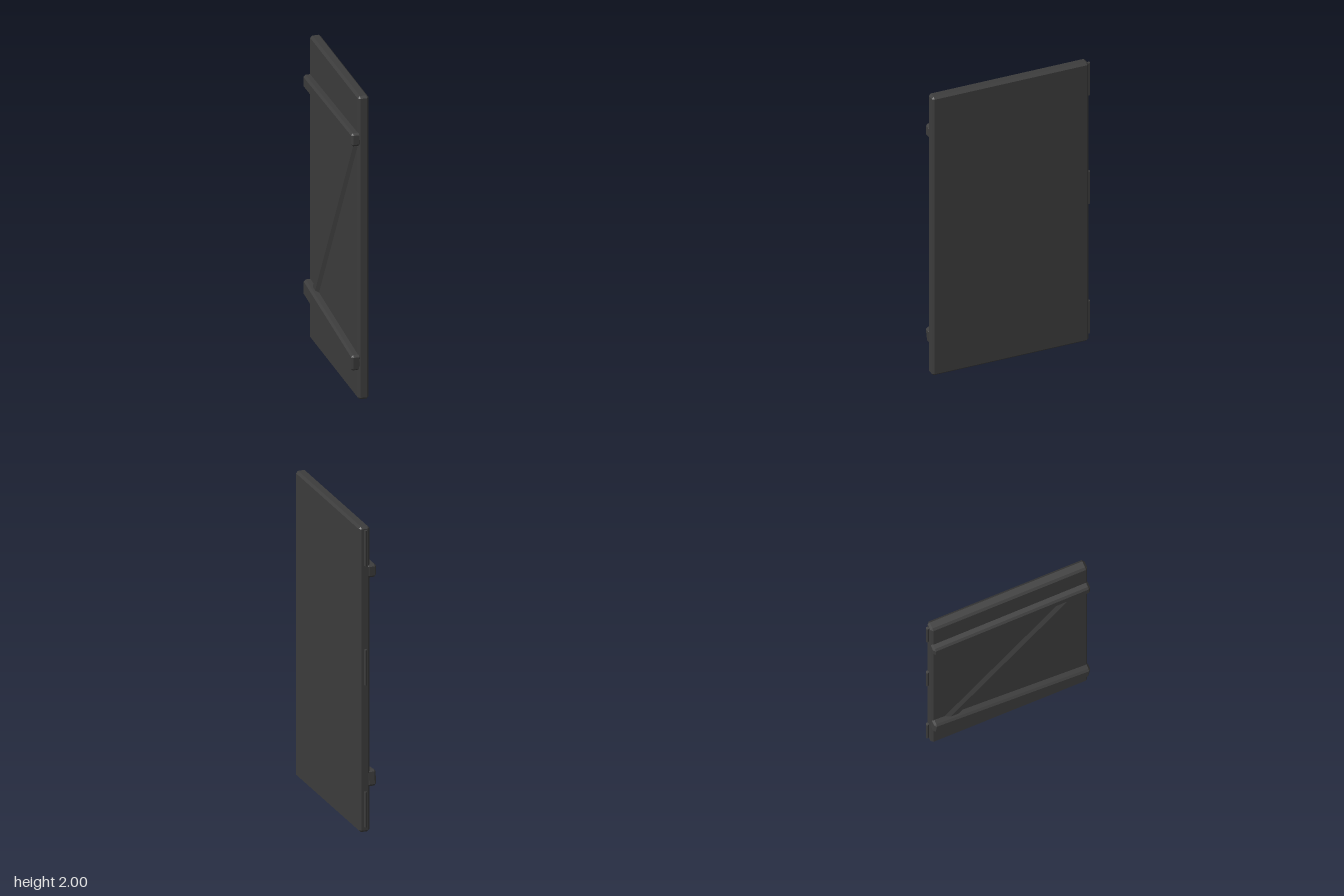
import * as THREE from 'three';
import { ConvexGeometry } from 'three/addons/geometries/ConvexGeometry.js';

const wood = new THREE.MeshStandardMaterial({ color: 0x3c3c3c, flatShading: true });
const SIGNS = [-1, 1];

// Box with all edges and corners chamfered by c
function chamferBox(w, h, d, c) {
  const points = [];
  for (const sx of SIGNS) for (const sy of SIGNS) for (const sz of SIGNS) {
    const x = w / 2, y = h / 2, z = d / 2;
    points.push(
      new THREE.Vector3(sx * x, sy * (y - c), sz * (z - c)),
      new THREE.Vector3(sx * (x - c), sy * y, sz * (z - c)),
      new THREE.Vector3(sx * (x - c), sy * (y - c), sz * z)
    );
  }
  return new ConvexGeometry(points);
}

// Upright strip lying against the panel, narrowing to a slim outer face on -x
function braceStrip(length, baseWidth, faceWidth, thickness) {
  const points = [];
  for (const sy of SIGNS) for (const sz of SIGNS) {
    points.push(
      new THREE.Vector3(0, sy * length / 2, sz * baseWidth / 2),
      new THREE.Vector3(-thickness, sy * length / 2, sz * faceWidth / 2)
    );
  }
  return new ConvexGeometry(points);
}

export function createModel() {
  const door = new THREE.Group();
  door.name = 'door';

  function add(name, geometry, x, y, z, tilt = 0) {
    const mesh = new THREE.Mesh(geometry, wood);
    mesh.name = name;
    mesh.position.set(x, y, z);
    mesh.rotation.x = tilt;
    door.add(mesh);
  }

  // Door leaf
  add('panel', chamferBox(0.07, 2, 1.04, 0.014), 0.02, 1, 0.01);

  // Cross rails, each nailed on slightly crooked
  add('upperRail', chamferBox(0.062, 0.086, 1.04, 0.013), -0.027, 1.71, 0.01, -0.014);
  add('lowerRail', chamferBox(0.062, 0.106, 1.04, 0.013), -0.027, 0.296, 0.01, 0.1);

  // Diagonal brace, its ends tucked into the rails
  const dy = 1.35, dz = 0.86;
  add('diagonalBrace', braceStrip(Math.hypot(dy, dz), 0.11, 0.045, 0.018),
    -0.013, 1.02, 0.04, Math.atan2(dz, dy));

  // Hinge barrels along the back edge
  for (const y of [0.155, 1.085, 1.865]) {
    add('hinge', new THREE.CylinderGeometry(0.01, 0.01, 0.23, 8), 0.02, y, -0.521);
  }

  return door;
}
